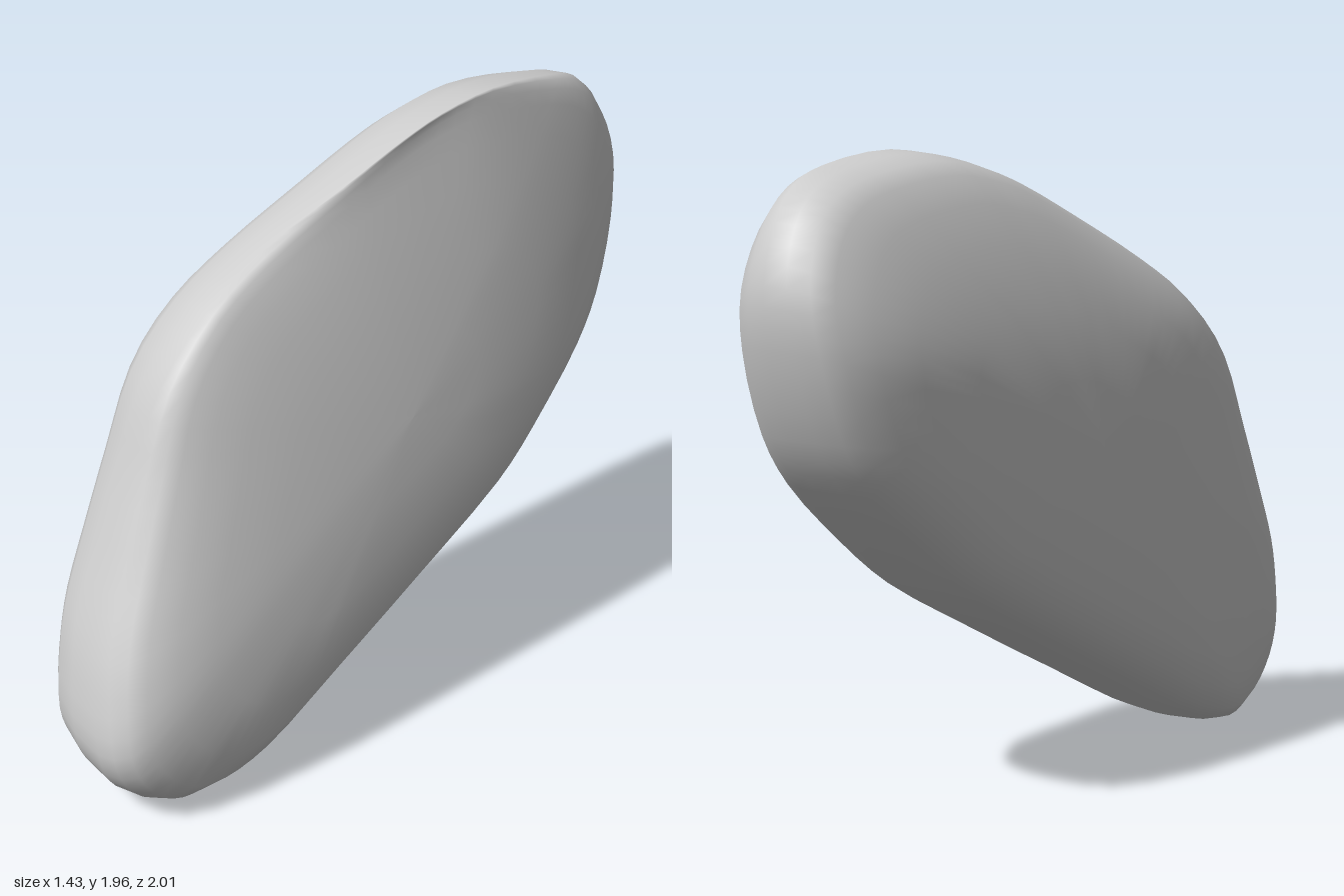
import * as THREE from 'three';

// Rim of the slab, counter-clockwise: u along the slab, y up, n across its thickness
const RIM = [
  [-0.8, 0, -0.02], [-0.62, 0.04, 0], [-0.3, 0.2, 0], [0.1, 0.41, 0], [0.48, 0.62, 0],
  [0.69, 0.78, 0], [0.93, 1.0, 0], [1.04, 1.16, -0.01], [1.13, 1.42, -0.03],
  [1.14, 1.6, -0.03], [1.07, 1.77, 0], [0.96, 1.87, 0.04], [0.81, 1.92, 0.08],
  [0.51, 1.96, 0.11], [0.3, 1.93, 0.1], [0.15, 1.88, 0.085], [-0.06, 1.78, 0.05],
  [-0.33, 1.63, -0.02], [-0.53, 1.5, -0.03], [-0.7, 1.3, -0.05], [-0.81, 1.05, -0.06],
  [-0.92, 0.8, -0.05], [-1.01, 0.6, -0.02], [-1.06, 0.45, 0.03], [-1.09, 0.27, 0.08],
  [-1.05, 0.15, 0.07], [-0.94, 0.04, 0.03],
];
// Rounded edge: [scale of the rim, share of the full face height]
const PROFILE = [[0, 1], [0.25, 1], [0.5, 0.98], [0.7, 0.94], [0.83, 0.86], [0.92, 0.73],
  [0.965, 0.57], [0.99, 0.31]];
const CENTRE = [0.05, 1.05];
const SEGMENTS = 81;

// Height of the front face: fullest low down, leaning back towards the upper edge
function frontFace(u, y) {
  const v = THREE.MathUtils.clamp((y - 0.42 - 0.5 * u) / 1.12, 0, 1.2);
  return 0.33 - (0.2 - 0.06 * u) * Math.pow(v, 1.4) - 0.06 * THREE.MathUtils.smoothstep(u, 0.4, 1.1);
}

// Height of the back face: curving forward towards the top
function backFace(u, y) {
  return -0.34 + 0.13 * THREE.MathUtils.smoothstep(y, 1.3, 1.95);
}

function slabGeometry() {
  const curve = new THREE.CatmullRomCurve3(
    RIM.map((p) => new THREE.Vector3(...p)), true, 'centripetal');
  const rim = Array.from({ length: SEGMENTS }, (_, j) => curve.getPoint(j / SEGMENTS));
  const rings = [
    ...PROFILE.map(([s, h]) => [s, h, frontFace]),
    [1, 0, frontFace],
    ...PROFILE.slice().reverse().map(([s, h]) => [s, h, backFace]),
  ];
  const positions = [];
  const index = [];
  for (const [s, h, face] of rings) {
    for (const p of rim) {
      const u = CENTRE[0] + (p.x - CENTRE[0]) * s;
      const y = CENTRE[1] + (p.y - CENTRE[1]) * s;
      const n = THREE.MathUtils.lerp(p.z, face(u, y), h);
      positions.push(0.54 * u + 0.84 * n, y, -0.84 * u + 0.54 * n);
    }
  }
  // Join neighbouring rings; the first and last rings are single points
  for (let i = 0; i < rings.length - 1; i++) {
    for (let j = 0; j < SEGMENTS; j++) {
      const k = (j + 1) % SEGMENTS;
      const a = i * SEGMENTS + j, d = i * SEGMENTS + k;
      const b = a + SEGMENTS, c = d + SEGMENTS;
      if (i < rings.length - 2) index.push(a, b, c);
      if (i > 0) index.push(a, c, d);
    }
  }
  const geometry = new THREE.BufferGeometry();
  geometry.setAttribute('position', new THREE.Float32BufferAttribute(positions, 3));
  geometry.setIndex(index);
  geometry.computeVertexNormals();
  return geometry;
}

export function createModel() {
  const group = new THREE.Group();
  group.name = 'stone';
  const slab = new THREE.Mesh(slabGeometry(), new THREE.MeshStandardMaterial({ color: 0xcccccc }));
  slab.name = 'stoneSlab';
  group.add(slab);

  // Centre the stone and stand it on the ground
  const box = new THREE.Box3().setFromObject(slab);
  const mid = box.getCenter(new THREE.Vector3());
  slab.position.set(-mid.x, -box.min.y, -mid.z);
  return group;
}
